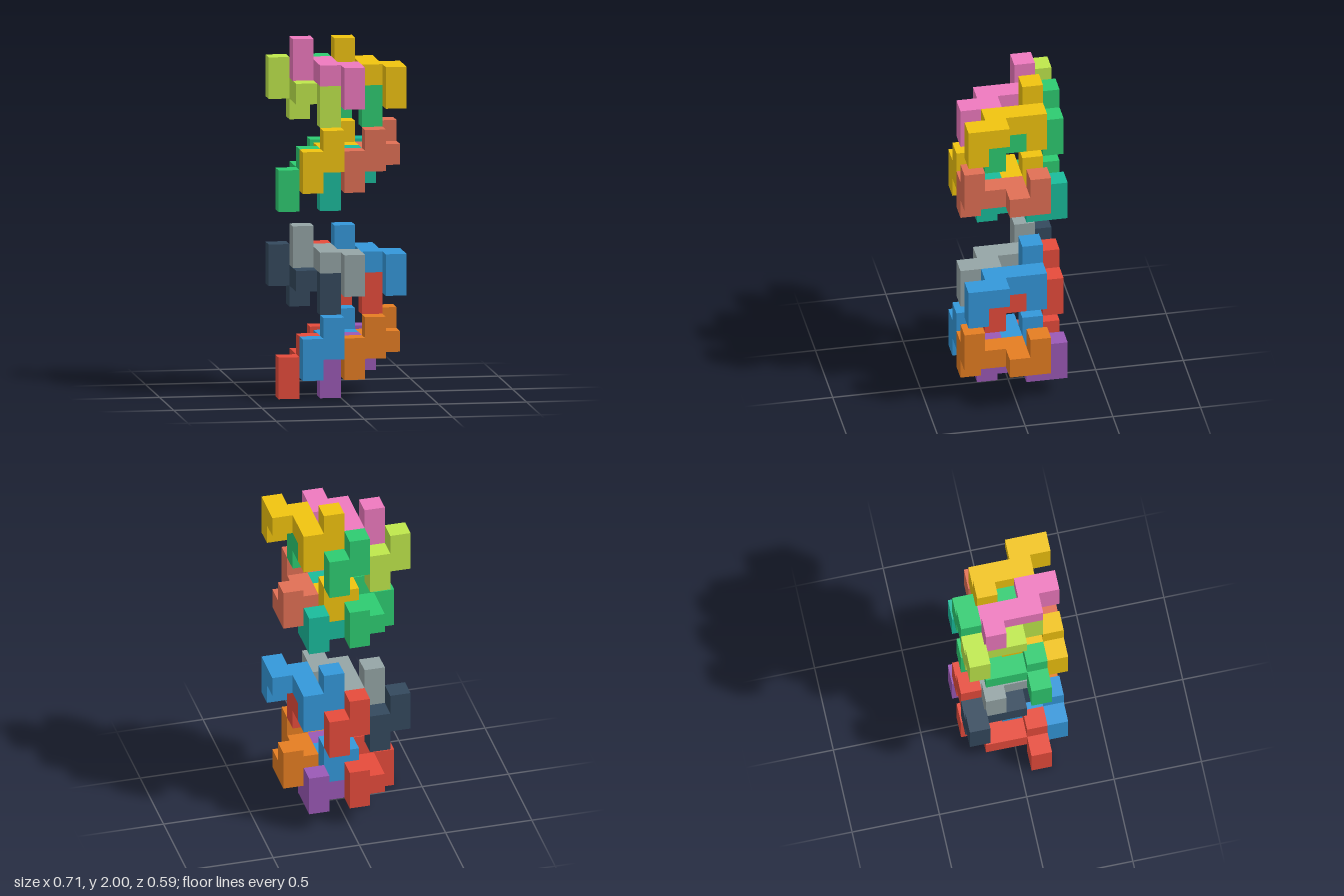
import * as THREE from 'three';
import { mergeGeometries } from 'three/addons/utils/BufferGeometryUtils.js';

const U = 2 / 17; // edge of one cube cell

// One puzzle piece: nine cells on a zigzag path with a stub at the bend
const PIECE = [
  [3, 1, 4], [3, 2, 4], [4, 2, 4], [4, 3, 4], [4, 2, 3],
  [4, 2, 2], [5, 2, 2], [5, 2, 1], [5, 3, 1],
];
// The same piece turned half a revolution about the x axis
const TURNED = PIECE.map(([x, y, z]) => [x, 8 - y, 5 - z]);

// Outward directions with the rotation that turns a +z plane towards them
const SIDES = [
  [[0, 0, 1], 0, 0], [[0, 0, -1], 0, Math.PI],
  [[1, 0, 0], 0, Math.PI / 2], [[-1, 0, 0], 0, -Math.PI / 2],
  [[0, 1, 0], -Math.PI / 2, 0], [[0, -1, 0], Math.PI / 2, 0],
];

// Outer skin of a set of cells
function skin(cells) {
  const filled = new Set(cells.map(String));
  const faces = [];
  for (const c of cells) {
    for (const [d, rx, ry] of SIDES) {
      if (filled.has(String(c.map((v, i) => v + d[i])))) continue;
      const p = c.map((v, i) => v + 0.5 + d[i] / 2);
      faces.push(new THREE.PlaneGeometry(U, U).rotateX(rx).rotateY(ry)
        .translate((p[0] - 3) * U, p[1] * U, (p[2] - 2.5) * U));
    }
  }
  return mergeGeometries(faces);
}

// Name, cells, shift in cells, colour in the lower and the upper stack
const LAYOUT = [
  ['lowerFrontLeftPiece', PIECE, [0, 0, 0], 0xe67e22, 0xe17055],
  ['lowerFrontRightPiece', PIECE, [-2, 0, 0], 0x3498db, 0xf1c40f],
  ['lowerBackLeftPiece', PIECE, [-1, -1, -1], 0x9b59b6, 0x1abc9c],
  ['lowerBackRightPiece', PIECE, [-3, -1, -1], 0xe74c3c, 0x2ecc71],
  ['upperFrontLeftPiece', TURNED, [0, 0, 0], 0x3498db, 0xf1c40f],
  ['upperFrontRightPiece', TURNED, [-2, 0, 0], 0x95a5a6, 0xef7abf],
  ['upperBackLeftPiece', TURNED, [-1, -1, -1], 0xe74c3c, 0x2ecc71],
  ['upperBackRightPiece', TURNED, [-3, -1, -1], 0x34495e, 0xbfe84c],
];

export function createModel() {
  const model = new THREE.Group();
  model.name = 'interlockingPieces';

  // Two equal stacks, one above the other with a gap of one cell
  ['lowerStack', 'upperStack'].forEach((stackName, level) => {
    const stack = new THREE.Group();
    stack.name = stackName;
    stack.position.y = level * 9 * U;
    for (const [name, cells, shift, ...colors] of LAYOUT) {
      const moved = cells.map((c) => c.map((v, i) => v + shift[i]));
      const mesh = new THREE.Mesh(skin(moved), new THREE.MeshStandardMaterial({ color: colors[level] }));
      mesh.name = name;
      stack.add(mesh);
    }
    model.add(stack);
  });
  return model;
}
